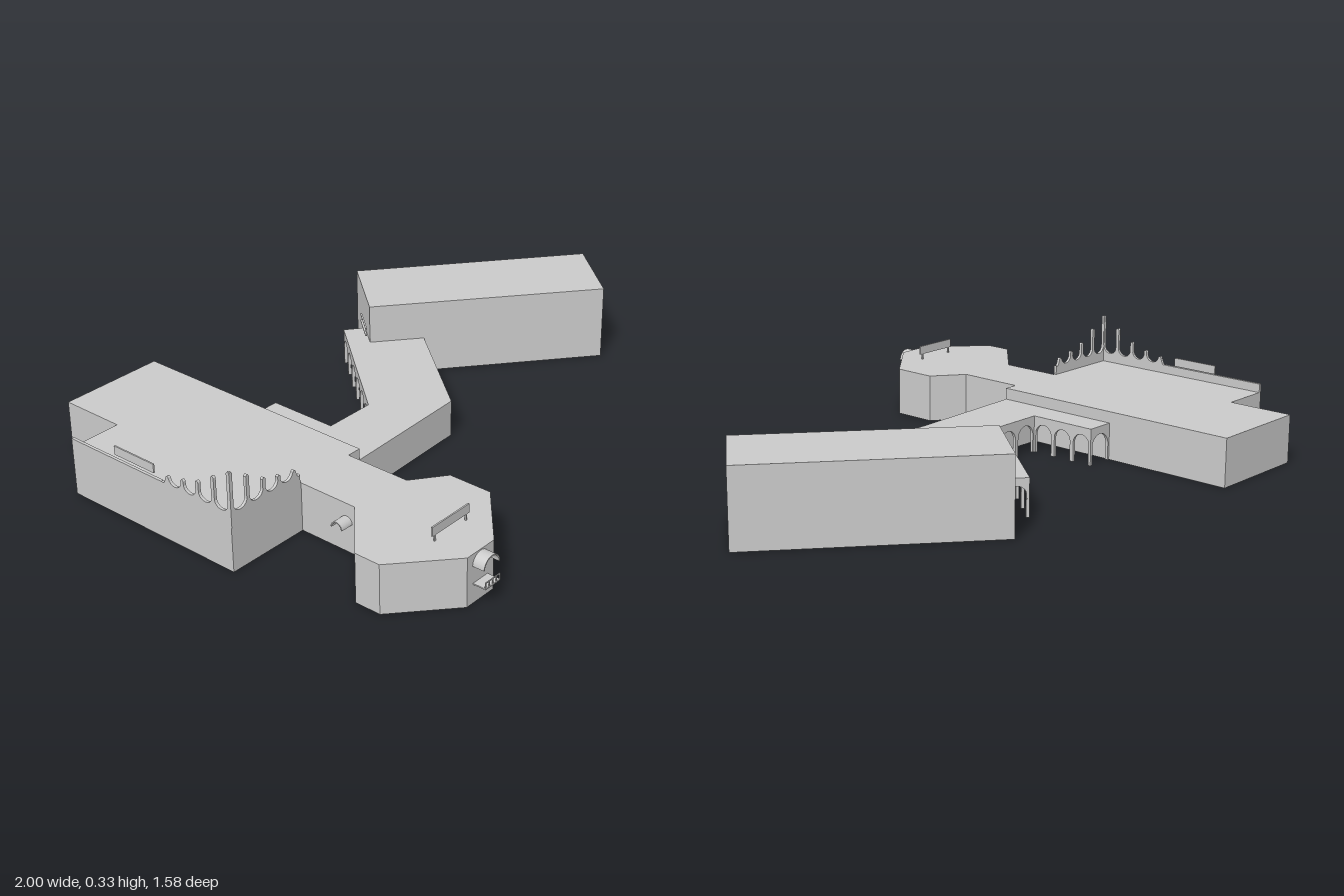
import * as THREE from 'three';

const material = new THREE.MeshStandardMaterial({ color: 0xcccccc, flatShading: true, side: THREE.DoubleSide });

export function createModel() {
  const model = new THREE.Group();

  function add(name, geometry, parent = model) {
    const mesh = new THREE.Mesh(geometry, material);
    mesh.name = name;
    parent.add(mesh);
    return mesh;
  }

  function box(name, w, h, d, x, y, z, parent = model) {
    const mesh = add(name, new THREE.BoxGeometry(w, h, d), parent);
    mesh.position.set(x, y, z);
    return mesh;
  }

  // Extrude an [x, z] floor plan upwards
  function block(name, plan, height, base = 0) {
    const shape = new THREE.Shape(plan.map(([x, z]) => new THREE.Vector2(x, -z)));
    const geometry = new THREE.ExtrudeGeometry(shape, { depth: height, bevelEnabled: false });
    add(name, geometry.rotateX(-Math.PI / 2).translate(0, base, 0));
  }

  // Group whose local x runs from p to q on the plan
  function along(name, p, q) {
    const group = new THREE.Group();
    group.name = name;
    group.position.set(p[0], 0, p[1]);
    group.rotation.y = -Math.atan2(q[1] - p[1], q[0] - p[0]);
    model.add(group);
    return group;
  }

  // Main hall with neck and faceted front pavilion
  block('mainHall', [
    [-1, -0.56], [-0.82, -0.56], [-0.82, -0.79], [-0.45, -0.79], [-0.45, 0.12], [-0.5, 0.12],
    [-0.5, 0.35], [-0.395, 0.43], [-0.395, 0.58], [-0.59, 0.745], [-0.71, 0.745],
    [-0.89, 0.58], [-0.89, 0.49], [-0.71, 0.33], [-0.71, 0.12], [-1, 0.12],
  ], 0.165);

  // Tall angled wing
  block('tallWing', [[0.365, -0.61], [1, -0.08], [0.8, 0.15], [0.17, -0.38]], 0.26);

  // Connecting corridor: recessed body under a wider roof
  const inner = [[-0.45, -0.33], [-0.35, -0.33], [-0.35, -0.09], [-0.17, -0.09], [0.185, -0.515], [0.247, -0.464]];
  const outer = [[0.4, -0.34], [0.315, -0.26], [0.02, 0.1], [-0.45, 0.12]];
  block('corridorBody', [[-0.45, -0.01], [-0.132, -0.01], [0.247, -0.464], ...outer], 0.115);
  block('corridorRoof', [...inner, ...outer], 0.015, 0.111);

  // Arcade wall: round-headed openings reaching the ground
  function arcade(p, q, count) {
    const length = Math.hypot(q[0] - p[0], q[1] - p[1]);
    const bay = length / count, pier = 0.007, r = bay / 2 - pier, spring = 0.1 - r;
    const shape = new THREE.Shape();
    shape.moveTo(0, 0);
    for (let i = 0; i < count; i++) {
      const x = i * bay;
      shape.lineTo(x + pier, 0);
      shape.lineTo(x + pier, spring);
      shape.absarc(x + bay / 2, spring, r, Math.PI, 0, true);
      shape.lineTo(x + bay - pier, 0);
    }
    shape.lineTo(length, 0);
    shape.lineTo(length, 0.112);
    shape.lineTo(0, 0.112);
    const geometry = new THREE.ExtrudeGeometry(shape, { depth: 0.01, bevelEnabled: false, curveSegments: 10 });
    add('arcadeWall', geometry, along('arcade', p, q));
  }
  [1, 3, 2, 6, 1].forEach((count, i) => arcade(inner[i], inner[i + 1], count));

  // Scalloped parapet with posts falling away from the corner
  const posts = [[0, 0.333], [0.065, 0.295], [0.13, 0.255], [0.192, 0.235], [0.255, 0.222]];
  function parapet(p, q, sign) {
    const w = 0.012, low = 0.197;
    const shape = new THREE.Shape();
    shape.moveTo(0, 0.15);
    posts.forEach(([x, top], i) => {
      const next = i < 4 ? posts[i + 1][0] : 0.285;
      shape.lineTo(x, top - 0.005);
      shape.quadraticCurveTo(x + w / 2, top + 0.005, x + w, top - 0.005);
      shape.lineTo(x + w, 0.216);
      shape.bezierCurveTo(x + w + 0.008, low - 0.006, next - 0.008, low - 0.006, next, i < 4 ? 0.216 : low);
    });
    shape.lineTo(0.285, 0.15);
    const geometry = new THREE.ExtrudeGeometry(shape, { depth: 0.01, bevelEnabled: false, curveSegments: 8 });
    geometry.translate(0, 0, sign < 0 ? -0.01 : 0);
    add('parapetWall', geometry, along('scallopedParapet', p, q));
  }
  parapet([-1, 0.122], [-0.71, 0.122], -1);
  parapet([-1, 0.122], [-1, -0.17], 1);
  box('sideParapet', 0.01, 0.04, 0.4, -0.995, 0.175, -0.36);

  // Blank sign boards
  box('frontSign', 0.165, 0.03, 0.005, -0.63, 0.2, 0.62);
  box('sideSign', 0.005, 0.03, 0.17, -0.985, 0.215, -0.295);
  [-0.7, -0.56].forEach((x) => box('signLeg', 0.005, 0.03, 0.005, x, 0.175, 0.62));

  // Curved door canopy: a half-ring shell projecting along local z
  function canopy(name, r, depth, y) {
    const shape = new THREE.Shape();
    shape.absarc(0, 0, r, 0, Math.PI, false);
    shape.absarc(0, 0, r - 0.004, Math.PI, 0, true);
    const geometry = new THREE.ExtrudeGeometry(shape, { depth, bevelEnabled: false, curveSegments: 12 });
    const mesh = add(name, geometry);
    mesh.position.y = y;
    return mesh;
  }
  const front = canopy('frontCanopy', 0.036, 0.04, 0.125);
  front.position.x = -0.65;
  front.position.z = 0.745;
  const side = canopy('sideCanopy', 0.022, 0.045, 0.1);
  side.position.x = -0.71;
  side.position.z = 0.298;
  side.rotation.y = -Math.PI / 2;

  // Front balcony with railing
  box('balconyFloor', 0.066, 0.004, 0.045, -0.65, 0.065, 0.767);
  box('balconyRail', 0.066, 0.003, 0.003, -0.65, 0.085, 0.788);
  for (let i = 0; i < 5; i++) box('balconyPost', 0.003, 0.02, 0.003, -0.682 + i * 0.016, 0.075, 0.788);

  // Low railing on the wing's end wall above the corridor
  const railing = along('wingRailing', [0.172, -0.398], [0.252, -0.492]);
  [0.145, 0.17].forEach((y) => box('wingRail', 0.123, 0.004, 0.006, 0.062, y, 0, railing));

  return model;
}
